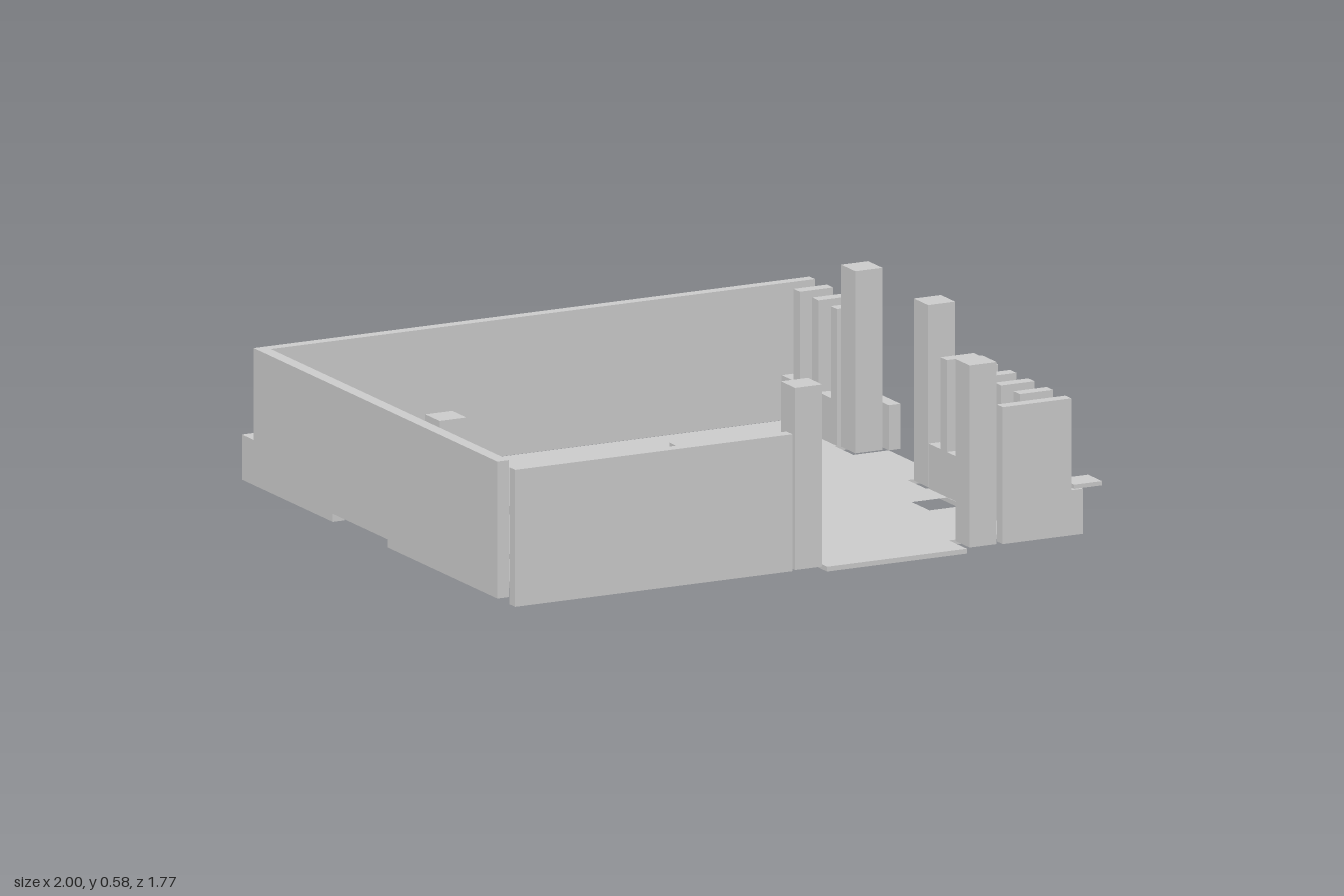
import * as THREE from 'three';

export function createModel() {
  const group = new THREE.Group();
  const gray = new THREE.MeshStandardMaterial({ color: 0xcccccc });
  gray.name = 'light gray';

  const add = (name, geometry) => {
    const mesh = new THREE.Mesh(geometry, gray);
    mesh.name = name;
    group.add(mesh);
    return mesh;
  };
  // Box given by its limits on each axis
  const box = (name, x0, x1, y0, y1, z0, z1) =>
    add(name, new THREE.BoxGeometry(x1 - x0, y1 - y0, z1 - z0))
      .position.set((x0 + x1) / 2, (y0 + y1) / 2, (z0 + z1) / 2);
  const polygon = (points) => new THREE.Shape(points.map(([a, b]) => new THREE.Vector2(a, b)));
  const extrude = (shape, depth) => new THREE.ExtrudeGeometry(shape, { depth, bevelEnabled: false });

  const base = 0.015, top = 0.44, low = 0.155;

  // Floor outline as (x, z), with notches around the posts and a front tongue
  const floor = polygon([
    [-0.88, -0.775], [0.78, -0.775], [0.78, -0.42], [0.77, -0.42], [0.77, -0.3],
    [0.89, -0.3], [0.89, 0.05], [0.77, 0.05], [0.77, 0.17], [0.78, 0.17], [0.78, 0.765],
    [0.535, 0.765], [0.535, 0.88], [0.06, 0.88], [0.06, 0.765], [-0.88, 0.765],
  ].map(([x, z]) => [x, -z]));
  floor.holes.push(polygon([[0.655, -0.295], [0.775, -0.295], [0.775, -0.41], [0.655, -0.41]]));
  add('floor', extrude(floor, base).rotateX(-Math.PI / 2));
  box('floorPanel', -0.88, -0.645, base, 0.02, -0.3, 0.765);
  box('raisedPanel', -0.88, -0.765, 0.07, 0.085, -0.3, -0.185);

  // Back wall with a notch at its lower left end
  const back = polygon([[-0.88, base], [0.89, base], [0.89, top], [-1, top], [-1, low], [-0.88, low]]);
  add('backWall', extrude(back, 0.035).translate(0, 0, -0.812));

  // Side wall as (z, y): low stub behind the back wall, raised edge in the middle
  const side = polygon([
    [-0.887, base], [-0.3, base], [-0.3, 0.04], [0.055, 0.04], [0.055, base],
    [0.765, base], [0.765, top], [-0.81, top], [-0.81, low], [-0.887, low],
  ]);
  add('sideWall', extrude(side, 0.04).rotateY(-Math.PI / 2).translate(-0.96, 0, 0));

  box('frontWallLong', -1, -0.058, base, top, 0.842, 0.88);
  box('frontWallShort', 0.657, 0.89, base, top, 0.842, 0.88);

  // Low rails outside the fins and low walls inside them
  for (const [z0, z1] of [[-0.887, -0.3], [0.058, 0.88]]) box('lowRail', 0.89, 0.93, base, low, z0, z1);
  for (const [z0, z1] of [[-0.777, -0.42], [0.173, 0.765]]) box('finWall', 0.777, 0.815, 0, low, z0, z1);
  for (const z of [-0.68, -0.56, -0.44, 0.27, 0.387, 0.505, 0.622, 0.742])
    box('fin', 0.777, 0.89, base, top, z - 0.02, z + 0.02);

  // Tall posts
  for (const [x, z] of [[0.002, 0.825], [0.595, 0.825], [0.83, 0.11], [0.83, -0.36]])
    box('post', x - 0.046, x + 0.046, base, 0.58, z - 0.046, z + 0.046);

  // Square blocks and plates: x, z, bottom, top
  const blocks = [
    [-0.59, -0.36, 0.02, 0.12], [-0.71, -0.12, 0.15, 0.35], [0.12, -0.12, 0.085, 0.165],
    [-0.35, -0.24, 0.02, 0.035], [-0.35, -0.12, 0.027, 0.04], [0.24, -0.24, 0.1, 0.115],
    [0.24, -0.12, 0.1, 0.115], [0.24, 0, 0.113, 0.127], [0.24, 0.115, 0.1, 0.115],
    [0.12, 0.115, 0.085, 0.1], [-0.11, 0.115, 0.035, 0.05], [-0.23, 0.115, 0.03, 0.045],
    [-0.825, 0.115, 0.085, 0.1], [-0.825, 0.23, 0.085, 0.1], [-0.71, 0.35, 0.16, 0.187],
    [-0.825, 0.585, 0.085, 0.1], [-0.59, 0.585, 0.085, 0.1], [-0.825, 0.703, 0.085, 0.1],
    [-0.71, 0.703, 0.16, 0.2], [-0.59, 0.703, 0.085, 0.1], [-0.47, 0.703, 0.085, 0.1],
    [-0.35, 0.703, 0.085, 0.1], [-0.115, 0.703, 0.02, 0.04],
  ];
  for (const [x, z, y0, y1] of blocks) box('block', x - 0.046, x + 0.046, y0, y1, z - 0.046, z + 0.046);

  // Small tabs along the outer side
  box('tab', 0.928, 1, 0.055, 0.07, -0.76, -0.67);
  box('tab', 0.91, 1, 0.198, 0.212, 0.065, 0.16);
  box('tab', 0.905, 1, 0.155, 0.168, 0.78, 0.87);

  return group;
}
